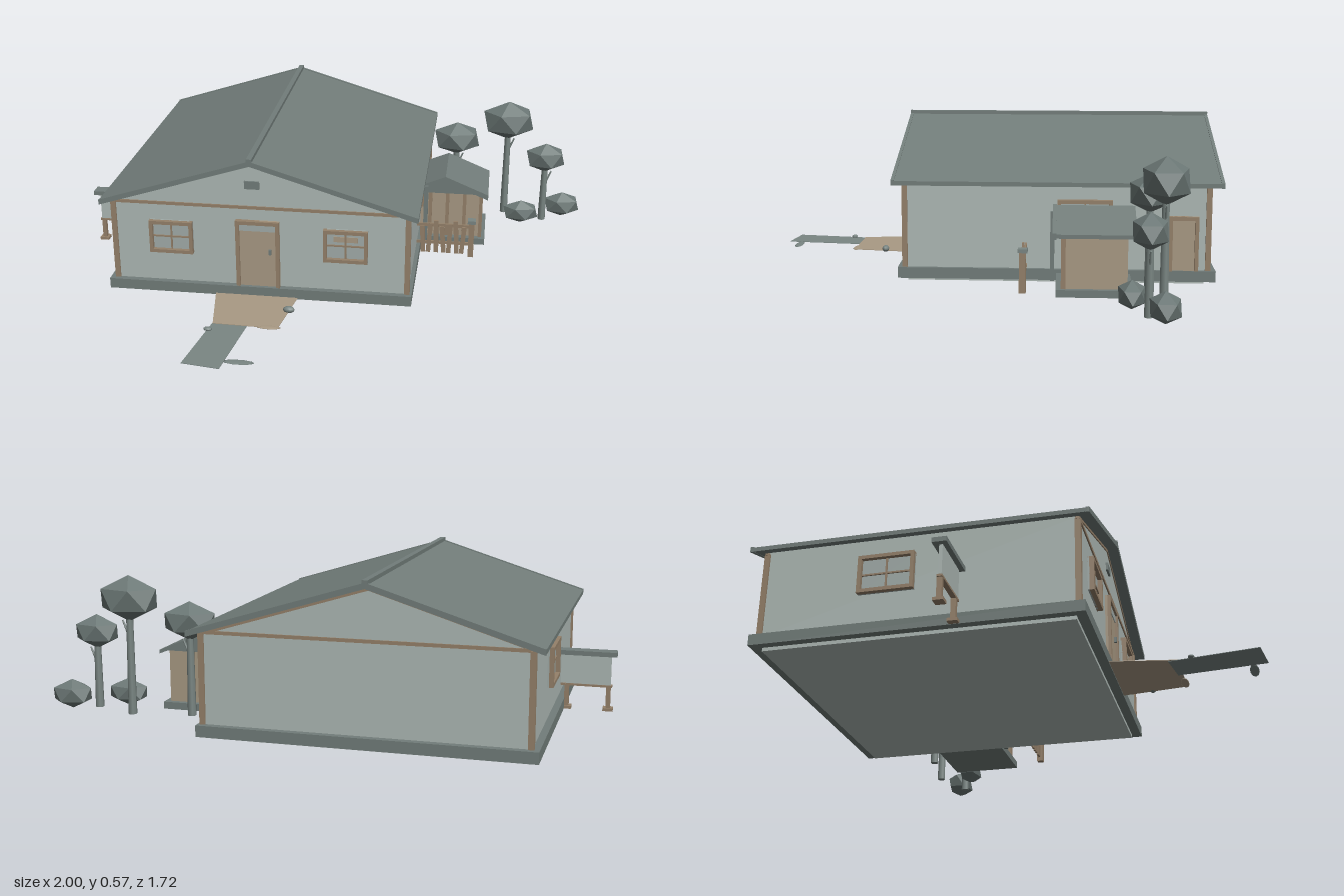
import * as THREE from 'three';

const mat = (name, color) => Object.assign(new THREE.MeshStandardMaterial({ color }), { name });

export function createModel() {
  const wall = mat('pale wall', 0xaeb9b5);
  const roofMat = mat('slate roof', 0x727d7a);
  const tan = mat('tan wood', 0xa99a84);
  const trim = mat('brown trim', 0x95816a);
  const glass = mat('window glass', 0xa2adaa);
  const leaf = mat('foliage', 0x6c7876);
  const stone = mat('grey stone', 0x7a8683);
  leaf.flatShading = true;

  const model = new THREE.Group();
  const add = (name, geo, m, parent = model) => {
    const mesh = new THREE.Mesh(geo, m);
    mesh.name = name;
    parent.add(mesh);
    return mesh;
  };
  const box = (name, m, [x0, x1], [y0, y1], [z0, z1], parent = model) => {
    const mesh = add(name, new THREE.BoxGeometry(x1 - x0, y1 - y0, z1 - z0), m, parent);
    mesh.position.set((x0 + x1) / 2, (y0 + y1) / 2, (z0 + z1) / 2);
    return mesh;
  };
  const group = (name) => {
    const g = new THREE.Group();
    g.name = name;
    model.add(g);
    return g;
  };
  // Front-facing outline extruded from z0 to z1
  const prism = (name, m, pts, z0, z1, parent = model) => {
    const shape = new THREE.Shape(pts.map(([x, y]) => new THREE.Vector2(x, y)));
    const geo = new THREE.ExtrudeGeometry(shape, { depth: z1 - z0, bevelEnabled: false });
    return add(name, geo.translate(0, 0, z0), m, parent);
  };
  // Strip of constant vertical thickness hanging below a line of points
  const chevron = (pts, t) => [...pts, ...pts.slice().reverse().map(([x, y]) => [x, y - t])];

  // House body and base
  box('slab', wall, [-0.785, 0.31], [0, 0.02], [-0.8, 0.285]);
  box('foundation', roofMat, [-0.815, 0.34], [0.013, 0.053], [-0.84, 0.32]);
  prism('houseWalls', wall, [[-0.79, 0.05], [0.325, 0.05], [0.325, 0.368], [-0.257, 0.547], [-0.79, 0.378]], -0.815, 0.297);

  // Roof with raised rake edges and a ridge cap
  const roofLine = [[-0.83, 0.383], [-0.257, 0.564], [0.36, 0.377]];
  prism('roof', roofMat, chevron(roofLine, 0.016), -0.855, 0.335);
  for (const z of [-0.862, 0.328]) {
    prism('rakeEdge', roofMat, chevron(roofLine.map(([x, y]) => [x, y + 0.003]), 0.02), z, z + 0.012);
  }
  box('ridgeCap', roofMat, [-0.267, -0.247], [0.555, 0.575], [-0.862, 0.34]);

  // Brown corner boards and gable trim
  for (const z of [-0.812, 0.294]) {
    for (const x of [-0.787, 0.322]) {
      box('cornerBoard', trim, [x - 0.01, x + 0.01], [0.053, 0.368], [z - 0.01, z + 0.01]);
    }
    box('gableBeam', trim, [-0.79, 0.325], [0.364, 0.376], [z - 0.008, z + 0.008]);
    prism('rakeTrim', trim, chevron([[-0.8, 0.372], [-0.257, 0.544], [0.33, 0.366]], 0.009), z - 0.007, z + 0.007);
  }

  // Windows, modelled facing +z around their centre
  const window = (x, y, z, turn, w = 0.165, h = 0.128) => {
    const g = group('window');
    const a = w / 2, b = h / 2, f = 0.013;
    box('pane', glass, [-a, a], [-b, b], [-0.004, 0.004], g);
    for (const s of [-1, 1]) {
      const fx = s * (a - f / 2), fy = s * (b - f / 2);
      box('frameSide', trim, [fx - f / 2, fx + f / 2], [-b, b], [-0.005, 0.02], g);
      box('frameRail', trim, [-a, a], [fy - f / 2, fy + f / 2], [-0.005, 0.02], g);
    }
    box('mullion', trim, [-0.003, 0.003], [-b, b], [0, 0.009], g);
    box('crossbar', trim, [-a, a], [-0.003, 0.003], [0, 0.009], g);
    g.position.set(x, y, z);
    g.rotation.y = turn;
    return g;
  };
  window(-0.567, 0.238, 0.299, 0);
  const blindWindow = window(0.092, 0.238, 0.299, 0);
  box('blind', tan, [-0.045, 0.045], [0.015, 0.036], [0.003, 0.007], blindWindow);
  window(-0.792, 0.24, -0.365, -Math.PI / 2, 0.2, 0.14);
  window(0.327, 0.24, -0.365, Math.PI / 2, 0.2, 0.14);

  // Doors, modelled facing +z from the sill upward
  const door = (x, y, z, turn, w, h) => {
    const g = group('door');
    const a = w / 2, f = 0.014;
    box('doorLeaf', tan, [-a, a], [0, h], [-0.004, 0.006], g);
    for (const s of [-1, 1]) {
      const fx = s * (a - f / 2);
      box('doorJamb', trim, [fx - f / 2, fx + f / 2], [0, h], [-0.005, 0.017], g);
    }
    box('doorHead', trim, [-a, a], [h - f, h], [-0.005, 0.017], g);
    g.position.set(x, y, z);
    g.rotation.y = turn;
    return g;
  };
  const frontDoor = door(-0.238, 0.053, 0.3, 0, 0.165, 0.267);
  box('transom', glass, [-0.068, 0.068], [0.226, 0.253], [0.002, 0.009], frontDoor);
  box('doorHandle', roofMat, [0.042, 0.052], [0.135, 0.155], [0.004, 0.016], frontDoor);
  door(0.328, 0.053, -0.722, Math.PI / 2, 0.108, 0.2);

  // Gable vent
  box('vent', roofMat, [-0.284, -0.228], [0.445, 0.475], [0.29, 0.305]);

  // Lean-to shed beside the house, with a slate gable
  const shed = group('shed');
  const shedLine = [[0.33, 0.266], [0.43, 0.308], [0.605, 0.236]];
  box('shedFloor', roofMat, [0.33, 0.598], [0.014, 0.04], [-0.53, -0.262], shed);
  box('shedWalls', tan, [0.33, 0.578], [0.04, 0.234], [-0.51, -0.29], shed);
  prism('shedGable', roofMat, [[0.33, 0.23], [0.585, 0.23], [0.43, 0.296], [0.33, 0.254]], -0.515, -0.275, shed);
  prism('shedRoof', roofMat, chevron(shedLine, 0.014), -0.54, -0.26, shed);
  prism('shedRakeEdge', roofMat, chevron(shedLine.map(([x, y]) => [x, y + 0.004]), 0.022), -0.264, -0.25, shed);
  for (const x of [0.37, 0.44, 0.51, 0.577]) {
    box('shedPost', trim, [x - 0.007, x + 0.007], [0.04, 0.23], [-0.296, -0.28], shed);
  }
  box('shedCornerPost', roofMat, [0.345, 0.362], [0.015, 0.27], [-0.255, -0.24], shed);

  // Uneven picket fence
  const fence = group('fence');
  const tilt = [0.04, -0.06, 0.03, 0.09, -0.04, 0.06, -0.08];
  tilt.forEach((t, i) => {
    const x = 0.35 + i * 0.027, h = 0.115 + (i % 3) * 0.012;
    const picket = box('picket', trim, [x - 0.009, x + 0.009], [0.025, 0.025 + h], [-0.148, -0.14], fence);
    picket.rotation.z = t;
  });
  box('upperRail', trim, [0.325, 0.545], [0.135, 0.148], [-0.155, -0.148], fence);
  box('lowerRail', trim, [0.325, 0.545], [0.06, 0.071], [-0.155, -0.148], fence);
  box('endPost', trim, [0.534, 0.556], [0.015, 0.162], [-0.158, -0.134], fence);
  box('postCap', stone, [0.529, 0.561], [0.16, 0.174], [-0.164, -0.13], fence);

  // Side notice panel on two legs
  const panel = group('sidePanel');
  box('panelBoard', wall, [-0.98, -0.8], [0.105, 0.217], [-0.12, -0.108], panel);
  box('panelCap', roofMat, [-1, -0.79], [0.217, 0.234], [-0.14, -0.09], panel);
  box('panelSill', trim, [-0.985, -0.8], [0.1, 0.108], [-0.123, -0.105], panel);
  for (const x of [-0.972, -0.822]) {
    box('panelLeg', trim, [x - 0.008, x + 0.008], [0.02, 0.105], [-0.124, -0.106], panel);
    box('panelFoot', trim, [x - 0.018, x + 0.018], [0.014, 0.025], [-0.133, -0.097], panel);
  }

  // Trees and bushes: low-poly crowns [x, y, z, rx, ry, rz, has trunk]
  const plants = [
    [0.675, 0.437, -0.627, 0.118, 0.083, 0.09, 1],
    [0.838, 0.298, -0.566, 0.09, 0.063, 0.066, 1],
    [0.46, 0.36, -0.59, 0.106, 0.07, 0.082, 1],
    [0.745, 0.066, -0.515, 0.082, 0.05, 0.052, 0],
    [0.922, 0.07, -0.612, 0.083, 0.054, 0.058, 0],
  ];
  for (const [x, y, z, rx, ry, rz, hasTrunk] of plants) {
    const g = group(hasTrunk ? 'tree' : 'bush');
    const crown = new THREE.IcosahedronGeometry(1, 0).rotateZ(Math.atan(0.526 / 0.851)).scale(rx, ry, rz);
    add('crown', crown, leaf, g).position.y = y;
    if (hasTrunk) {
      const trunk = new THREE.CylinderGeometry(0.012, 0.016, y - 0.015, 7);
      add('trunk', trunk, stone, g).position.y = (y + 0.015) / 2;
      const branch = add('branch', new THREE.CylinderGeometry(0.003, 0.005, 0.05, 5), stone, g);
      branch.position.set(0.018, y - ry - 0.02, 0);
      branch.rotation.z = -0.4;
    }
    g.position.set(x, 0, z);
  }

  // Flat entrance path in two pieces, outlines given as x and z
  const paving = (name, m, pts, y) => {
    const shape = new THREE.Shape(pts.map(([x, z]) => new THREE.Vector2(x, -z)));
    const geo = new THREE.ExtrudeGeometry(shape, { depth: 0.002, bevelEnabled: false });
    add(name, geo.rotateX(-Math.PI / 2).translate(0, y, 0), m);
  };
  paving('entrancePath', tan, [[-0.405, 0.3], [-0.36, 0.555], [-0.12, 0.56], [-0.085, 0.3]], 0.017);
  paving('gardenPath', stone, [[-0.358, 0.52], [-0.405, 0.84], [-0.268, 0.86], [-0.232, 0.54]], 0.015);

  // Stones along the path
  const stones = [
    [-0.102, 0.027, 0.43, 0.022, 0.013, 0.014, stone],
    [-0.155, 0.017, 0.555, 0.046, 0.003, 0.015, tan],
    [-0.367, 0.021, 0.602, 0.016, 0.007, 0.012, stone],
    [-0.212, 0.016, 0.808, 0.056, 0.002, 0.017, stone],
  ];
  for (const [x, y, z, rx, ry, rz, m] of stones) {
    add('pathStone', new THREE.SphereGeometry(1, 10, 6).scale(rx, ry, rz), m).position.set(x, y, z);
  }
  return model;
}
